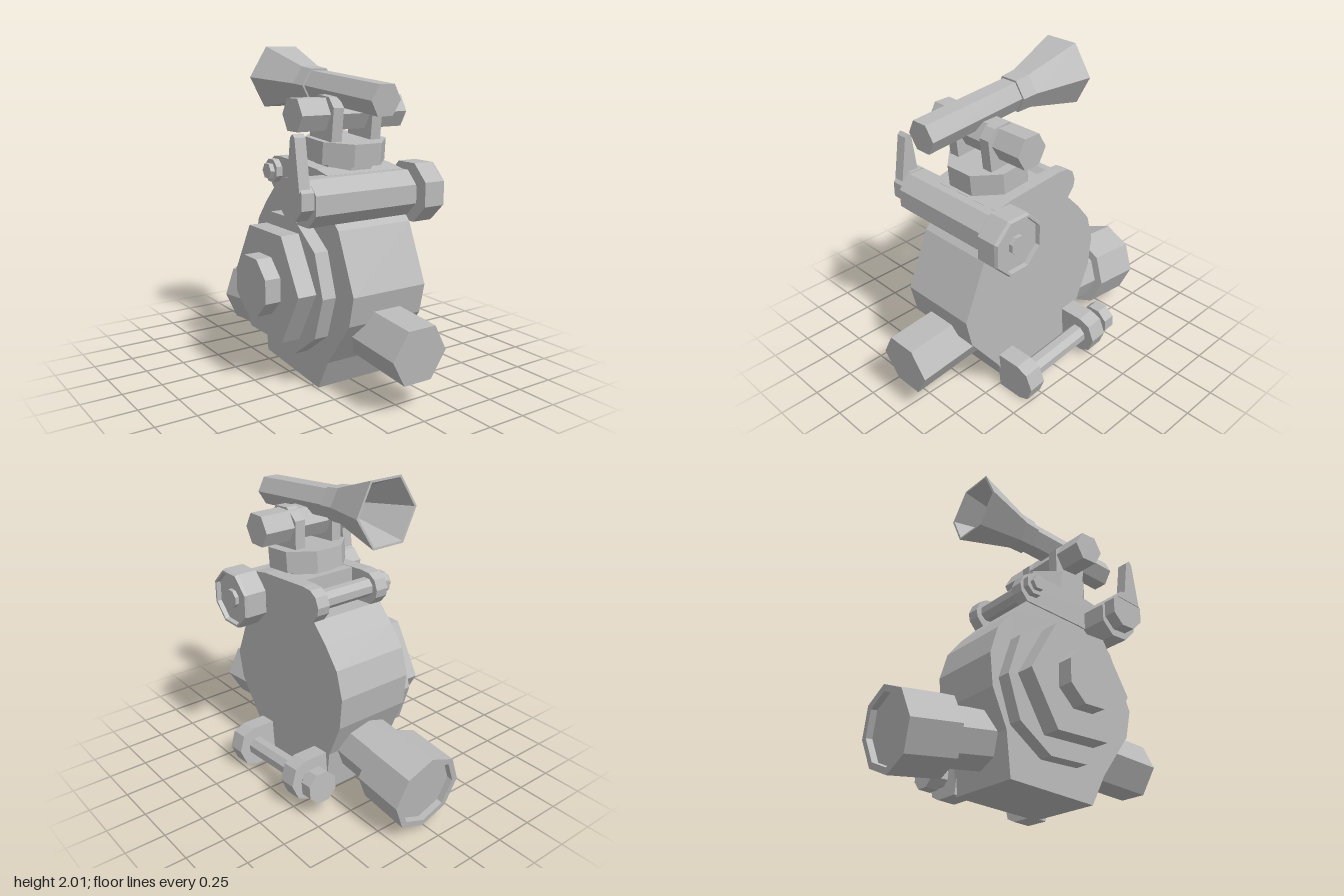
import * as THREE from 'three';

const grey = new THREE.MeshStandardMaterial({ color: 0xbababa, flatShading: true });
grey.name = 'plain grey';

export function createModel() {
  const model = new THREE.Group();
  model.name = 'fishingReel';

  const add = (name, geo, parent = model) => {
    const m = new THREE.Mesh(geo, grey);
    m.name = name;
    parent.add(m);
    return m;
  };

  // faceted turned part: profile of [radius, distance along axis], ascending outside
  const turned = (name, axis, sides, phase, profile, pos, parent = model) => {
    const geo = new THREE.LatheGeometry(profile.map(p => new THREE.Vector2(...p)), sides, phase);
    if (axis === 'x') geo.rotateZ(-Math.PI / 2);
    if (axis === 'z') geo.rotateX(Math.PI / 2);
    const m = add(name, geo, parent);
    m.position.set(...pos);
    return m;
  };
  const rod = (r, a, b) => [[0, a], [r, a], [r, b], [0, b]];

  // flat outline of [z, y] points, extruded sideways from x0 to x1
  const sidePlate = (name, pts, x0, x1, parent = model) => {
    const shape = new THREE.Shape(pts.map(([z, y]) => new THREE.Vector2(-z, y)));
    const geo = new THREE.ExtrudeGeometry(shape, { depth: x1 - x0, bevelEnabled: false });
    geo.rotateY(Math.PI / 2).translate(x0, 0, 0);
    return add(name, geo, parent);
  };

  const tilted = (name, angle, x, y, z) => {
    const g = new THREE.Group();
    g.name = name;
    g.position.set(x, y, z);
    g.rotation.x = angle;
    model.add(g);
    return g;
  };
  const TILT = 0.086, Q = Math.PI / 2, E = Math.PI / 8;

  // drum-shaped body with its foot
  sidePlate('body', [
    [0.66, 0.65], [0.51, 1.0], [0.42, 1.09], [0.23, 1.125], [-0.18, 1.157], [-0.29, 1.045],
    [-0.39, 0.92], [-0.44, 0.75], [-0.42, 0.55], [-0.32, 0.32], [-0.29, 0.05],
    [0.31, 0], [0.41, 0.19], [0.62, 0.47],
  ], -0.235, 0.275);

  // stepped discs on the right flank
  turned('flankRing', 'x', 10, 0, rod(0.435, -0.325, -0.235), [0, 0.61, 0.055]);
  turned('flankHexagon', 'x', 6, 0, rod(0.37, -0.445, -0.325), [0, 0.625, 0.055]);
  turned('flankHub', 'x', 8, E, rod(0.188, -0.545, -0.445), [0, 0.625, 0.055]);

  // front and rear barrels
  const front = tilted('frontBarrelGroup', TILT, 0.02, 0.35, 0.93);
  turned('frontBarrel', 'z', 6, Q, rod(0.187, -0.5, 0), [0, 0, 0], front);
  const rear = tilted('rearBarrelGroup', -0.11, 0.025, 0.3, -0.59);
  turned('rearBarrel', 'z', 8, 0, [
    [0, -0.29], [0.205, -0.29], [0.205, -0.33], [0.245, -0.33], [0.245, 0],
    [0.185, 0], [0.185, 0.32], [0, 0.32],
  ], [0, 0, 0], rear);

  // saddle on top of the body, with a slot at the rear holding a pin
  const saddle = [[0.42, 1.09], [0.42, 1.3], [0.3, 1.325], [-0.09, 1.354], [-0.16, 1.35],
    [-0.21, 1.32], [-0.235, 1.26], [-0.225, 1.21], [-0.18, 1.155], [0.23, 1.12]];
  sidePlate('saddleCheekLeft', saddle, 0.2, 0.285);
  sidePlate('saddleCheekRight', saddle, -0.245, -0.16);
  sidePlate('saddleBlock', [[0.42, 1.09], [0.42, 1.3], [0.3, 1.325], [0, 1.345], [0, 1.13]], -0.16, 0.2);
  turned('saddlePin', 'x', 8, E, rod(0.06, -0.25, 0.21), [0, 1.26, -0.14]);
  turned('saddlePinHead', 'x', 8, E, rod(0.075, -0.285, -0.245), [0, 1.265, -0.14]);
  turned('saddlePinTip', 'x', 6, 0, rod(0.05, -0.315, -0.285), [0, 1.265, -0.14]);

  // cross roller with handwheel and lever
  turned('roller', 'x', 8, E, rod(0.145, -0.41, 0.285), [0, 1.165, 0.42]);
  turned('wheelNeck', 'x', 8, E, rod(0.105, 0.28, 0.33), [0, 1.16, 0.42]);
  turned('handwheel', 'x', 8, E, [
    [0, 0.32], [0.19, 0.32], [0.19, 0.45], [0.182, 0.47], [0.168, 0.47], [0.165, 0.44], [0, 0.44],
  ], [0, 1.16, 0.42]);
  turned('wheelBolt', 'x', 8, E, rod(0.06, 0.43, 0.465), [0, 1.16, 0.42]);
  turned('leverHub', 'x', 8, E, rod(0.125, -0.49, -0.405), [0, 1.19, 0.42]);
  sidePlate('lever', [[0.52, 1.24], [0.475, 1.53], [0.455, 1.55], [0.43, 1.53], [0.4, 1.31], [0.34, 1.26]],
    -0.495, -0.425);

  // octagonal pedestal and its twin brackets
  const mount = tilted('mount', TILT, 0.015, 1.42, 0.222);
  turned('pedestal', 'y', 8, E, rod(0.243, -0.065, 0.065), [0, 0, 0], mount);
  turned('pedestalStem', 'y', 8, E, rod(0.18, -0.14, -0.06), [0, 0, 0], mount);
  for (const x of [-0.185, 0.09])
    sidePlate('bracket', [[0.12, 0.06], [0.125, 0.26], [0.07, 0.315], [-0.04, 0.315],
      [-0.09, 0.27], [-0.12, 0.24], [-0.105, 0.06]], x, x + 0.07, mount);
  turned('crossbar', 'x', 6, 0, rod(0.107, -0.36, 0.375), [0, 1.63, 0.235]);

  // long tube ending in a hollow horn
  const tube = tilted('hornGroup', TILT, -0.03, 1.78, 0);
  turned('tube', 'z', 6, Q, rod(0.1, -0.02, 0.665), [0, 0, 0], tube);
  turned('horn', 'z', 6, Q, [
    [0, -0.12], [0.09, -0.12], [0.205, -0.45], [0.22, -0.45], [0.118, -0.1], [0.113, 0], [0, 0],
  ], [0, 0, 0], tube);

  // lower side rod held by two rounded lugs
  const arm = tilted('sideRodGroup', TILT, 0.41, 0.165, 0);
  const lug = new THREE.Shape([[-0.15, -0.13], [0.02, -0.13], [0.09, -0.1], [0.13, 0],
    [0.095, 0.1], [0.02, 0.13], [-0.15, 0.13]].map(p => new THREE.Vector2(...p)));
  for (const z of [-0.3, 0.275])
    add('lug', new THREE.ExtrudeGeometry(lug, { depth: 0.115, bevelEnabled: false }), arm)
      .position.z = z;
  turned('sideRod', 'z', 8, E, rod(0.063, -0.38, 0.3), [0, 0, 0], arm);
  turned('sideRodCap', 'z', 8, E, rod(0.103, -0.43, -0.35), [0, 0, 0], arm);

  return model;
}
